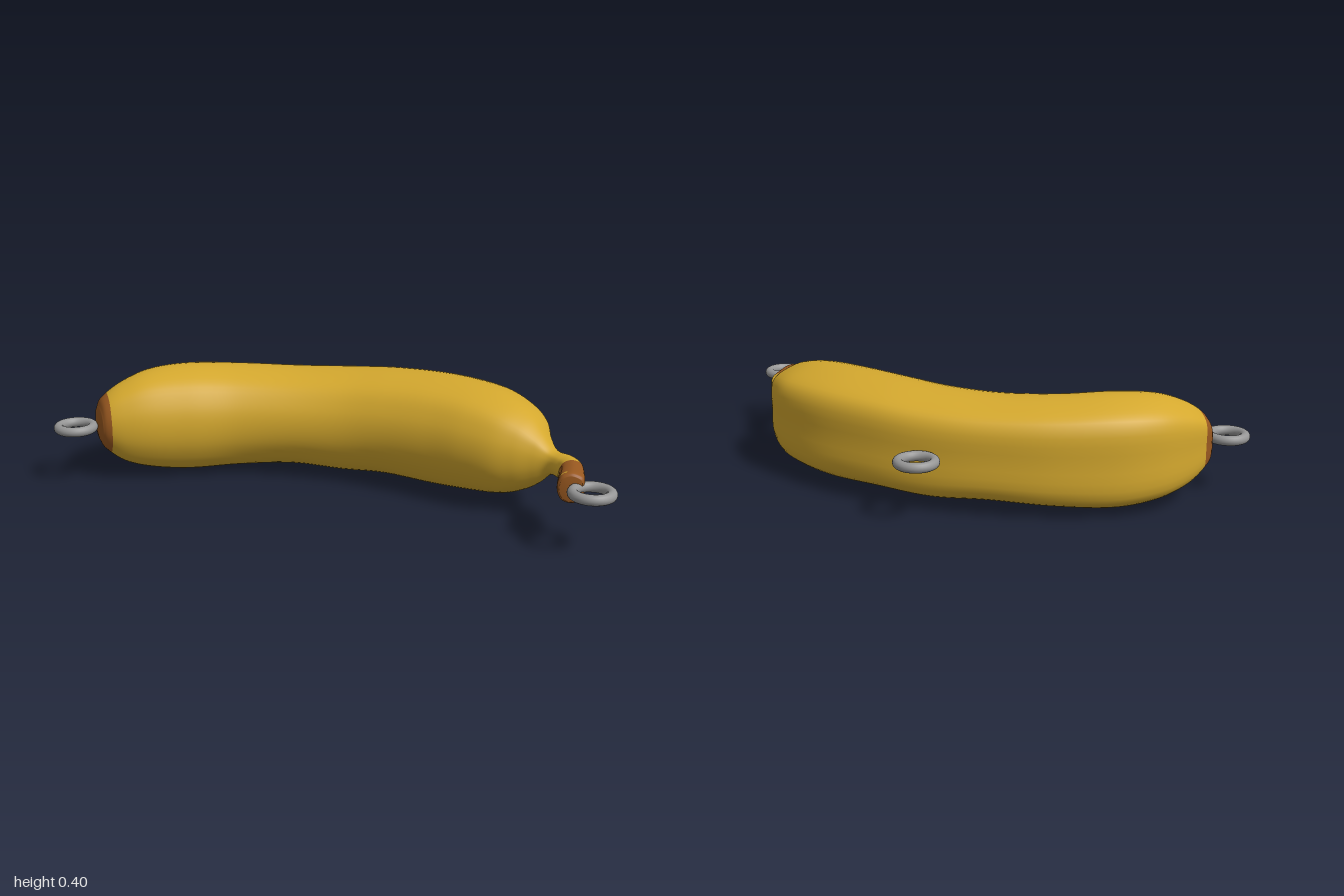
import * as THREE from 'three';

// Cross-sections along the fruit, from blossom tip to stem end:
// [outer x, outer z, inner x, inner z, top y, bottom y]
const STATIONS = [
  [-0.885, 0.075, -0.815, 0.175, 0.265, 0.145],
  [-0.88, 0.04, -0.79, 0.18, 0.305, 0.11],
  [-0.835, -0.05, -0.73, 0.172, 0.35, 0.055],
  [-0.75, -0.16, -0.65, 0.15, 0.385, 0.02],
  [-0.62, -0.25, -0.52, 0.1, 0.396, 0.002],
  [-0.42, -0.325, -0.36, 0.042, 0.387, 0.01],
  [-0.2, -0.365, -0.18, 0.017, 0.381, 0.02],
  [0, -0.375, 0, 0.02, 0.388, 0.01],
  [0.2, -0.355, 0.16, 0.05, 0.4, 0.017],
  [0.42, -0.295, 0.33, 0.105, 0.405, 0.013],
  [0.6, -0.2, 0.46, 0.158, 0.395, 0.025],
  [0.7, -0.09, 0.56, 0.19, 0.37, 0.045],
  [0.75, 0, 0.64, 0.197, 0.335, 0.08],
  [0.768, 0.08, 0.71, 0.196, 0.29, 0.12],
  [0.795, 0.14, 0.76, 0.203, 0.25, 0.163],
  [0.845, 0.18, 0.79, 0.235, 0.247, 0.165],
  [0.875, 0.24, 0.803, 0.265, 0.25, 0.16],
  [0.886, 0.3, 0.806, 0.3, 0.252, 0.157],
  [0.892, 0.385, 0.806, 0.39, 0.255, 0.152],
  [0.885, 0.405, 0.815, 0.408, 0.245, 0.16],
];
const STEPS = 8;   // rings per station
const SIDES = 56;

// Section: flat outer side, rounded inner side. x = outer to inner, y = height
function sectionPoints() {
  const upper = [[0.04, 0.7], [0.24, 0.91], [0.5, 1], [0.8, 0.83], [0.95, 0.46]];
  const lower = upper.map(([u, v]) => [u, -v]).reverse();
  const pts = [[0, 0], ...upper, [1, 0], ...lower].map(([u, v]) => new THREE.Vector3(u, v, 0));
  return new THREE.CatmullRomCurve3(pts, true).getPoints(SIDES).slice(0, SIDES);
}

function buildPeel(materials) {
  const curve = (f) => new THREE.CatmullRomCurve3(STATIONS.map(f), false, 'catmullrom', 0.5);
  const outer = curve((s) => new THREE.Vector3(s[0], s[4], s[1]));  // y holds the top
  const inner = curve((s) => new THREE.Vector3(s[2], s[5], s[3]));  // y holds the bottom
  const section = sectionPoints();
  const rings = (STATIONS.length - 1) * STEPS;
  const pos = [];
  for (let i = 0; i <= rings; i++) {
    const a = outer.getPoint(i / rings), b = inner.getPoint(i / rings);
    for (const { x: u, y: v } of section) {
      pos.push(a.x + (b.x - a.x) * u, (a.y + b.y) / 2 + v * (a.y - b.y) / 2, a.z + (b.z - a.z) * u);
    }
  }
  const tip = pos.length / 3;
  pos.push(-0.862, 0.205, 0.134, 0.85, 0.203, 0.41);  // end centres

  // Brown patches: blossom tip, top and end of the stem, one bruise
  const isBrown = (i, j) => {
    const k = (i * SIDES + j) * 3;
    const [x, y, z] = pos.slice(k, k + 3);
    const s = i / STEPS;
    if (s < 1.2) return true;
    if (s > 17.8) return !(y > 0.235 && x < 0.84 && s < 18);
    if (s > 16.2) return y > 0.222;
    return x > 0.6 && Math.hypot((z + 0.01) / 0.045, (y - 0.24) / 0.035) < 1 && j < SIDES / 3;
  };
  const faces = [[], []];
  for (let j = 0; j < SIDES; j++) {
    const n = (j + 1) % SIDES;
    for (let i = 0; i < rings; i++) {
      const a = i * SIDES + j, d = i * SIDES + n;
      faces[isBrown(i, j) ? 1 : 0].push(a, d, d + SIDES, a, d + SIDES, a + SIDES);
    }
    faces[1].push(tip, n, j, tip + 1, rings * SIDES + j, rings * SIDES + n);
  }
  const geo = new THREE.BufferGeometry();
  geo.setAttribute('position', new THREE.Float32BufferAttribute(pos, 3));
  geo.setIndex([...faces[0], ...faces[1]]);
  geo.addGroup(0, faces[0].length, 0);
  geo.addGroup(faces[0].length, faces[1].length, 1);
  geo.computeVertexNormals();
  const mesh = new THREE.Mesh(geo, materials);
  mesh.name = 'banana';
  return mesh;
}

export function createModel() {
  const mat = (name, color) => {
    const m = new THREE.MeshStandardMaterial({ color });
    m.name = name;
    return m;
  };
  const yellow = mat('peelYellow', 0xd4a82e);
  const brown = mat('ripeBrown', 0x985820);
  const grey = mat('ringGrey', 0x969696);

  const model = new THREE.Group();
  model.name = 'bananaCharm';
  model.add(buildPeel([yellow, brown]));

  // Flat lying rings at the tip, the middle of the back and the stem
  const ringGeo = new THREE.TorusGeometry(0.061, 0.0178, 16, 40).rotateX(Math.PI / 2);
  const spots = { tipRing: [-0.921, 0.172], backRing: [0, -0.446], stemRing: [0.918, 0.437] };
  for (const [name, [x, z]] of Object.entries(spots)) {
    const ring = new THREE.Mesh(ringGeo, grey);
    ring.name = name;
    ring.position.set(x, 0.206, z);
    model.add(ring);
  }
  return model;
}
